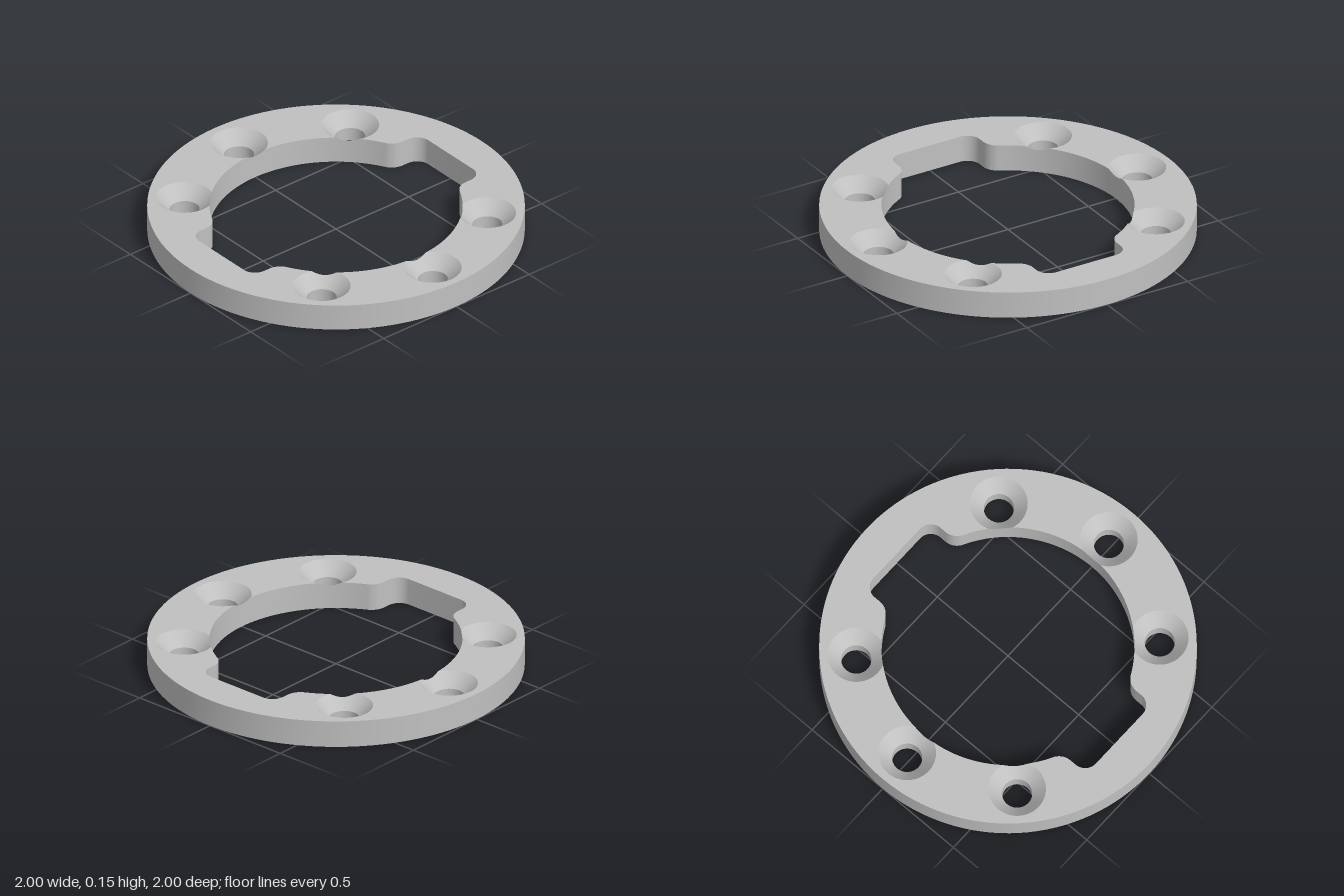
import * as THREE from 'three';
import { toCreasedNormals } from 'three/addons/utils/BufferGeometryUtils.js';

const H = 0.15, OUTER = 1, INNER = 0.67;         // ring
const BOLT = 0.805, HOLE = 0.08, SINK = 0.153;   // bolt circle, hole and countersink radii
const PI = Math.PI, Q = PI / 4;
const HOLE_ANGLES = [0, Q, 3 * Q, PI, 5 * Q, 7 * Q];

// Where a countersink breaks through the bore: angle about the ring and about the hole
const CUT = Math.acos((BOLT ** 2 + INNER ** 2 - SINK ** 2) / (2 * BOLT * INNER));
const PHI = Math.atan2(INNER * Math.sin(CUT), INNER * Math.cos(CUT) - BOLT);

const arc = (cx, cz, r, a0, a1, n) => Array.from({ length: n + 1 }, (_, i) => {
  const a = a0 + (a1 - a0) * i / n;
  return new THREE.Vector2(cx + r * Math.cos(a), cz + r * Math.sin(a));
});
const holeCentre = a => [BOLT * Math.cos(a), BOLT * Math.sin(a)];

// Bore outline with two rounded notches; withSinks follows the countersink rims
function boreOutline(withSinks) {
  const fillet = 0.09, fx = 0.352, fz = Math.sqrt((INNER + fillet) ** 2 - fx * fx);
  const join = Math.atan2(fz, fx);
  const bore = (a0, a1, n) => arc(0, 0, INNER, a0, a1, n);
  const quarter = [
    ...(withSinks ? arc(BOLT, 0, SINK, 0, PHI, 20) : bore(0, CUT, 6)),
    ...bore(CUT, Q - CUT, 12),
    ...(withSinks ? arc(...holeCentre(Q), SINK, Q - PHI, Q + PHI, 40) : bore(Q - CUT, Q + CUT, 12)),
    ...bore(Q + CUT, join, 6),
    ...arc(fx, fz, fillet, join + PI, PI, 10),
    ...arc(0.187, 0.712, 0.075, 0, PI / 2, 10),
    new THREE.Vector2(0, 0.787),
  ];
  const flip = (pts, sx, sz) => pts.map(p => new THREE.Vector2(p.x * sx, p.y * sz));
  const back = [...quarter].reverse();
  const all = [...quarter, ...flip(back, -1, 1), ...flip(quarter, -1, -1), ...flip(back, 1, -1)];
  return all.filter((p, i) => p.distanceTo(all[(i + 1) % all.length]) > 1e-5);
}

// Closed band of quads between two loops of [x, y, z]
function band(lower, upper) {
  const n = lower.length, index = [];
  for (let i = 0; i < n; i++) {
    const j = (i + 1) % n;
    index.push(i, j, n + j, i, n + j, n + i);
  }
  const g = new THREE.BufferGeometry();
  g.setAttribute('position', new THREE.Float32BufferAttribute([...lower, ...upper].flat(), 3));
  g.setIndex(index);
  return toCreasedNormals(g, 0.6);
}
const at = (pts, y) => pts.map(p => [p.x, y, p.y]);

// Flat ring face with openings
function face(openings, y, up) {
  const shape = new THREE.Shape(arc(0, 0, OUTER, 0, 2 * PI, 128).slice(0, -1));
  shape.holes = openings.map(o => new THREE.Path(o));
  return new THREE.ShapeGeometry(shape).rotateX(up ? -PI / 2 : PI / 2).translate(0, y, 0);
}

export function createModel() {
  const group = new THREE.Group();
  const metal = new THREE.MeshStandardMaterial({ color: 0xc0c0c0 });
  metal.name = 'greyMetal';
  const add = (name, geometry) => {
    const mesh = new THREE.Mesh(geometry, metal);
    mesh.name = name;
    group.add(mesh);
  };

  // Flat faces
  const holeLoop = a => arc(...holeCentre(a), HOLE, 0, 2 * PI, 48).slice(0, -1);
  add('topFace', face([boreOutline(true)], H, true));
  add('bottomFace', face([boreOutline(false), ...HOLE_ANGLES.map(holeLoop)], 0, false));

  // Outer rim
  const rim = arc(0, 0, OUTER, 0, 2 * PI, 128).slice(0, -1);
  add('outerRim', band(at(rim, H), at(rim, 0)));

  // Bore wall, dipping where the countersinks cut into it
  const bore = boreOutline(false);
  const wallTop = p => HOLE_ANGLES.reduce((y, a) => {
    const [cx, cz] = holeCentre(a);
    return Math.min(y, H - SINK + Math.hypot(p.x - cx, p.y - cz));
  }, H);
  add('boreWall', band(at(bore, 0), bore.map(p => [p.x, wallTop(p), p.y])));

  // Screw holes: straight shaft below a conical countersink trimmed by the bore
  const spins = [];
  for (let i = 0; i < 40; i++) spins.push(-PHI + 2 * PHI * i / 40);
  for (let i = 0; i < 12; i++) spins.push(PHI + (2 * PI - 2 * PHI) * i / 12);
  const reach = s => {
    const b = BOLT * Math.cos(s), d = b * b - BOLT ** 2 + INNER ** 2;
    return b < 0 && d > 0 ? Math.min(SINK, -b - Math.sqrt(d)) : SINK;
  };
  HOLE_ANGLES.forEach((a, k) => {
    const [cx, cz] = holeCentre(a);
    const loop = (radius, height) => spins.map(s => {
      const r = radius(s);
      return [cx + r * Math.cos(a + s), height(r), cz + r * Math.sin(a + s)];
    });
    const neck = loop(() => HOLE, r => H - SINK + r);
    add(`screwHole${k + 1}`, band(loop(() => HOLE, () => 0), neck));
    add(`countersink${k + 1}`, band(neck, loop(reach, r => H - SINK + r)));
  });
  return group;
}
